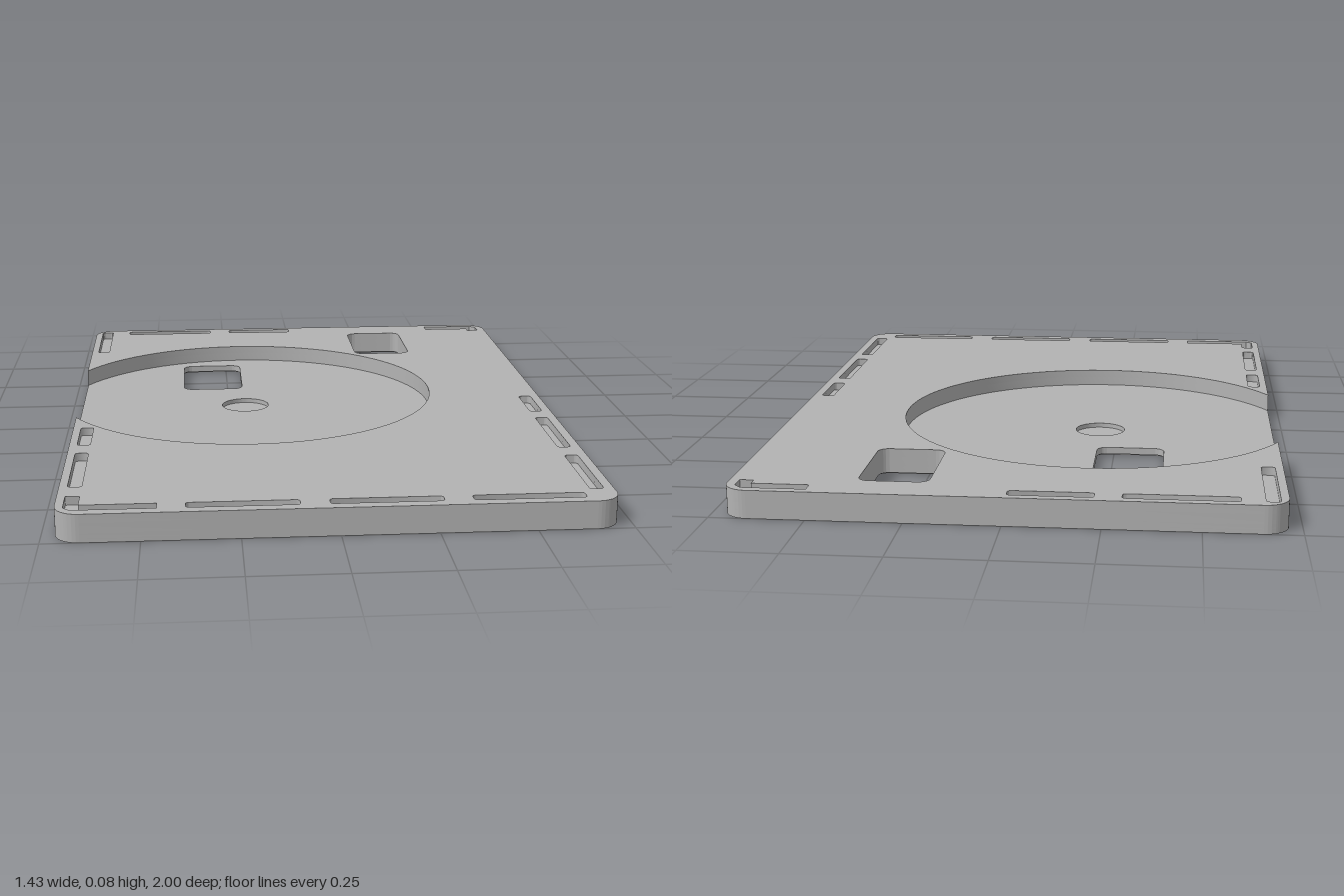
import * as THREE from 'three';
import { toCreasedNormals } from 'three/addons/utils/BufferGeometryUtils.js';

const HX = 0.715, HZ = 1, CORNER = 0.065;
const DISC = { x: -0.2, z: -0.135, r: 0.585 };

// Rounded rectangle between x0..x1 and z0..z1 (shape y is -z)
function roundRect(x0, x1, z0, z1, r, C = THREE.Path, bite = false) {
  const p = new C(), b = -z1, t = -z0;
  p.moveTo(x0 + r, b);
  p.absarc(x1 - r, b + r, r, -Math.PI / 2, 0, false);
  p.absarc(x1 - r, t - r, r, 0, Math.PI / 2, false);
  p.absarc(x0 + r, t - r, r, Math.PI / 2, Math.PI, false);
  if (bite) {
    // the round recess breaks through the left-hand edge
    const dx = x0 - DISC.x, a = Math.atan2(Math.sqrt(DISC.r ** 2 - dx * dx), dx);
    p.absarc(DISC.x, -DISC.z, DISC.r, a, -a, true);
  }
  p.absarc(x0 + r, b + r, r, Math.PI, Math.PI * 1.5, false);
  p.closePath();
  return p;
}

const polygon = pts => new THREE.Path(pts.map(([x, z]) => new THREE.Vector2(x, -z)));

const windowInDisc = (m = 0) => roundRect(-0.395 - m, -0.203 + m, -0.643 - m, -0.335 + m, 0.03 + m);
const windowInRim = (m = 0) => roundRect(0.2 - m, 0.387 + m, -0.887 - m, -0.583 + m, 0.03 + m);

// Shallow slots along the rim: x0, x1, z0, z1
const SLOTS = [
  [-0.595, -0.3, -0.975, -0.938], [-0.23, -0.01, -0.975, -0.938],
  [-0.693, -0.656, -0.97, -0.665],
  [-0.693, -0.656, 0.255, 0.425], [-0.693, -0.656, 0.5, 0.79],
  [0.652, 0.689, 0.01, 0.18], [0.652, 0.689, 0.25, 0.545], [0.652, 0.689, 0.62, 0.905],
  [-0.388, -0.1, 0.932, 0.968], [-0.025, 0.265, 0.932, 0.968], [0.34, 0.63, 0.932, 0.968],
];

function slotHoles() {
  const holes = SLOTS.map(s => roundRect(...s, 0.01));
  // corner slots
  holes.push(polygon([[0.5, -0.975], [0.67, -0.975], [0.689, -0.955], [0.689, -0.91],
    [0.652, -0.91], [0.652, -0.938], [0.5, -0.938]]));
  holes.push(polygon([[-0.693, 0.865], [-0.656, 0.865], [-0.656, 0.932], [-0.46, 0.932],
    [-0.46, 0.968], [-0.675, 0.968], [-0.693, 0.95]]));
  return holes;
}

export function createModel() {
  const group = new THREE.Group();
  group.name = 'plate';
  const grey = new THREE.MeshStandardMaterial({ color: 0xb3b3b3 });
  grey.name = 'grey';

  // One horizontal slice of the plate
  function layer(name, y0, y1, bite, holes) {
    const shape = roundRect(-HX, HX, -HZ, HZ, CORNER, THREE.Shape, bite);
    shape.holes.push(...holes);
    const flat = new THREE.ExtrudeGeometry(shape, { depth: y1 - y0, bevelEnabled: false, curveSegments: 40 });
    flat.rotateX(-Math.PI / 2);
    flat.translate(0, y0, 0);
    const mesh = new THREE.Mesh(toCreasedNormals(flat, 0.5), grey);
    mesh.name = name;
    group.add(mesh);
  }

  const hub = new THREE.Path();
  hub.absarc(DISC.x, -DISC.z, 0.073, 0, Math.PI * 2, false);

  layer('undersideWithWindowLips', 0, 0.006, false, [windowInDisc(0.013), windowInRim(0.015)]);
  layer('base', 0.006, 0.012, false, [windowInDisc(), windowInRim()]);
  layer('recessFloor', 0.012, 0.025, false, [windowInDisc(), windowInRim(), hub]);
  layer('lowerRim', 0.025, 0.052, true, [windowInRim()]);
  layer('slottedRim', 0.052, 0.075, true, [windowInRim(), ...slotHoles()]);
  return group;
}
